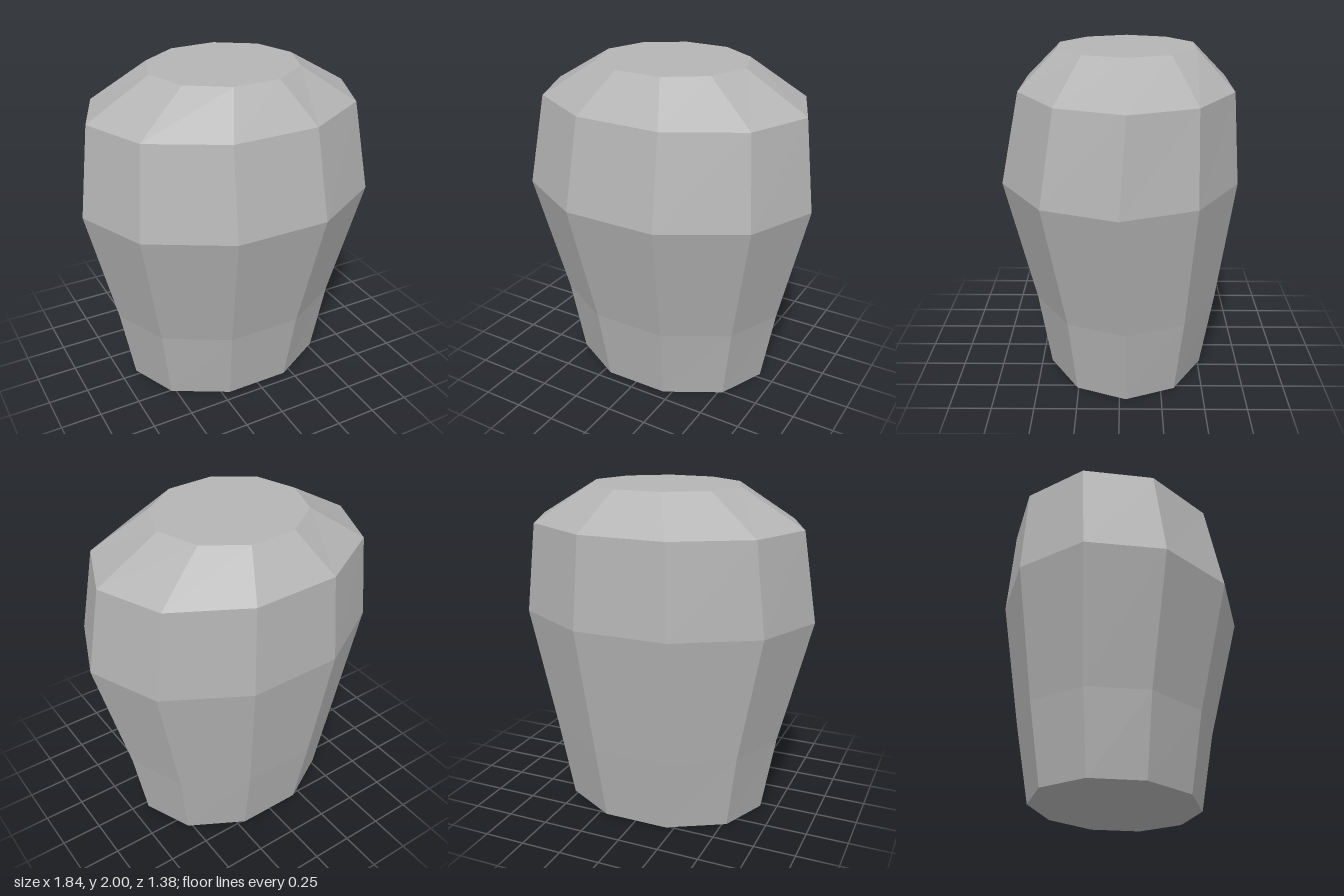
import * as THREE from 'three';

const SIDES = 10;

// Cross-sections from bottom to top: height, x radius, z radius, z centre
const RINGS = [
  [0, 0.65, 0.5, -0.037],
  [0.47, 0.735, 0.58, -0.038],
  [1.235, 0.922, 0.727, 0],
  [1.775, 0.845, 0.652, -0.036],
  [2, 0.462, 0.424, -0.038],
];

// Faceted skin through the oval rings, closed by flat caps
function loftRings(rings) {
  const positions = [];
  const index = [];
  for (const [y, rx, rz, cz] of rings) {
    for (let i = 0; i < SIDES; i++) {
      const a = (i / SIDES) * Math.PI * 2;
      positions.push(rx * Math.cos(a), y, cz + rz * Math.sin(a));
    }
  }
  for (let r = 0; r < rings.length - 1; r++) {
    for (let i = 0; i < SIDES; i++) {
      const j = (i + 1) % SIDES;
      const a = r * SIDES + i, b = r * SIDES + j;
      index.push(a, a + SIDES, b, b, a + SIDES, b + SIDES);
    }
  }
  const top = (rings.length - 1) * SIDES;
  for (let i = 1; i < SIDES - 1; i++) {
    index.push(0, i, i + 1); // bottom cap
    index.push(top, top + i + 1, top + i); // top cap
  }
  const geometry = new THREE.BufferGeometry();
  geometry.setAttribute('position', new THREE.Float32BufferAttribute(positions, 3));
  geometry.setIndex(index);
  const flat = geometry.toNonIndexed();
  flat.computeVertexNormals();
  return flat;
}

export function createModel() {
  const group = new THREE.Group();
  group.name = 'facetedUrn';

  const stone = new THREE.MeshStandardMaterial({ color: 0xb4b4b4 });
  stone.name = 'light grey';
  stone.flatShading = true;

  const body = new THREE.Mesh(loftRings(RINGS), stone);
  body.name = 'body';
  group.add(body);
  return group;
}
